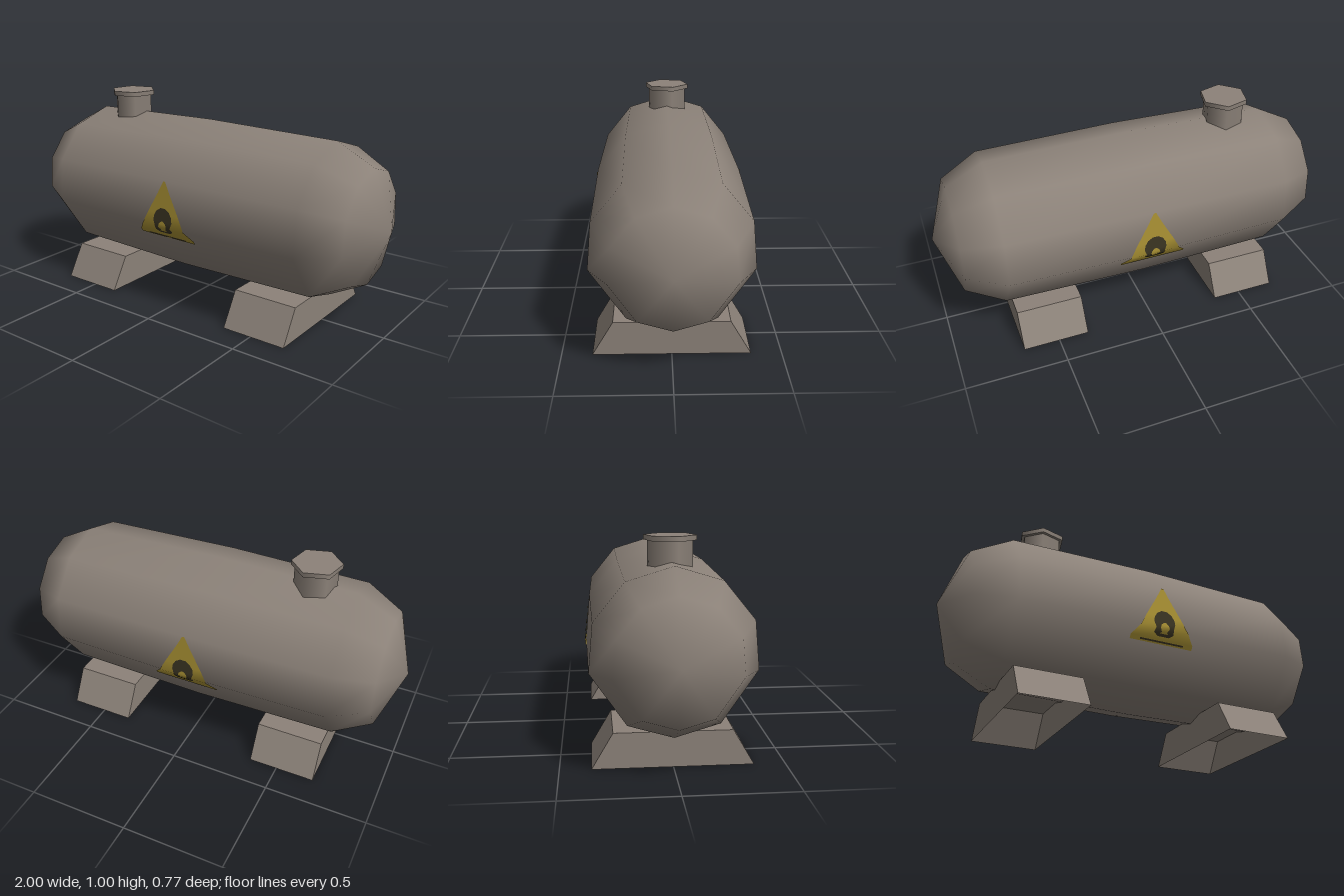
import * as THREE from 'three';
import { mergeVertices } from 'three/addons/utils/BufferGeometryUtils.js';

const CENTER_Y = 0.517;
const RADIUS = 0.387;
// uneven ten-sided section, degrees from the top, one half then mirrored
const HALF = [0, 34, 68, 102, 147, 180];
const ANGLES = [...HALF, ...HALF.slice(1, -1).reverse().map(a => 360 - a), 360]
  .map(THREE.MathUtils.degToRad);

// x position and radius scale of each ring along the tank
const RINGS = [[-1, 0], [-0.9, 0.715], [-0.715, 0.967], [0, 1], [0.715, 0.967], [0.9, 0.715], [1, 0]];

function tankGeometry() {
  const pos = [], index = [], n = ANGLES.length;
  RINGS.forEach(([x, s], i) => ANGLES.forEach((a, j) => {
    const r = RADIUS * s;
    pos.push(x, CENTER_Y + r * Math.cos(a), r * Math.sin(a));
    if (i < RINGS.length - 1 && j < n - 1) {
      const p = i * n + j, q = p + n;
      if (s > 0) index.push(p, p + 1, q);
      if (RINGS[i + 1][1] > 0) index.push(q, p + 1, q + 1);
    }
  }));
  const g = new THREE.BufferGeometry();
  g.setAttribute('position', new THREE.Float32BufferAttribute(pos, 3));
  g.setIndex(index);
  const merged = mergeVertices(g, 1e-4);
  merged.computeVertexNormals();
  return merged;
}

// depth of the tank's side at a given height
function sideZ(y) {
  const pts = HALF.map(THREE.MathUtils.degToRad)
    .map(a => [CENTER_Y + RADIUS * Math.cos(a), RADIUS * Math.sin(a)]);
  for (let i = 1; i < pts.length; i++) {
    const [y0, z0] = pts[i - 1], [y1, z1] = pts[i];
    if (y <= y0 && y >= y1) return z0 + (z1 - z0) * (y0 - y) / (y0 - y1);
  }
  return 0;
}

// thin face hugging the tank side; rows are [height, half width] from top down
function decalGeometry(rows, lift, side) {
  const pos = [], index = [];
  rows.forEach(([y, w], i) => {
    const z = side * (sideZ(y) + lift);
    pos.push(-w * side, y, z, w * side, y, z);
    if (i > 0) {
      const a = 2 * i - 2;
      index.push(a, a + 2, a + 1, a + 1, a + 2, a + 3);
    }
  });
  const g = new THREE.BufferGeometry();
  g.setAttribute('position', new THREE.Float32BufferAttribute(pos, 3));
  g.setIndex(index);
  g.computeVertexNormals();
  return g;
}

// trapezoid block, hollow and open underneath
function footGeometry() {
  const g = new THREE.BoxGeometry(0.33, 0.163, 0.72);
  const p = g.attributes.position;
  for (let i = 0; i < p.count; i++) {
    if (p.getY(i) > 0) p.setZ(i, Math.sign(p.getZ(i)) * 0.265);
  }
  const idx = Array.from(g.index.array);
  idx.splice(18, 6);
  g.setIndex(idx);
  g.clearGroups();
  g.computeVertexNormals();
  return g;
}

export function createModel() {
  const model = new THREE.Group();
  model.name = 'storageTank';

  const material = (name, color) => {
    const m = new THREE.MeshStandardMaterial({ color, side: THREE.DoubleSide });
    m.name = name;
    return m;
  };
  const metal = material('taupeMetal', 0x8c8279);
  const yellow = material('warningYellow', 0xa89033);
  const dark = material('darkMarking', 0x3a3422);

  const add = (name, geometry, mat, parent = model) => {
    const mesh = new THREE.Mesh(geometry, mat);
    mesh.name = name;
    parent.add(mesh);
    return mesh;
  };

  add('tankBody', tankGeometry(), metal);

  // feet
  const foot = footGeometry();
  [['rightFoot', -0.525], ['leftFoot', 0.515]].forEach(([name, x]) => {
    add(name, foot, metal).position.set(x, 0.0815, 0);
  });

  // filler neck and its six-sided lid
  const turn = THREE.MathUtils.degToRad(46);
  add('fillerNeck', new THREE.CylinderGeometry(0.102, 0.102, 0.12, 6, 1, true, turn), metal)
    .position.set(-0.51, 0.925, 0);
  add('fillerLid', new THREE.CylinderGeometry(0.119, 0.119, 0.023, 6, 1, false, turn), metal)
    .position.set(-0.51, 0.9935, 0);

  // warning signs on both long sides
  const bend = CENTER_Y + RADIUS * Math.cos(ANGLES[3]);
  const triangle = [[0.661, 0.006], [0.6, 0.037], [0.5, 0.093], [bend, 0.125], [0.39, 0.165], [0.372, 0.165]];
  const flame = [[0.53, 0.014], [0.515, 0.038], [0.49, 0.053], [0.465, 0.056], [bend, 0.046], [0.415, 0.052], [0.402, 0.03]];
  const flameCore = [[0.466, 0.006], [0.452, 0.02], [bend, 0.024], [0.42, 0.014], [0.413, 0.022]];
  const bar = [[0.384, 0.115], [0.377, 0.115]];
  [['front', 1], ['back', -1]].forEach(([name, side]) => {
    const sign = new THREE.Group();
    sign.name = name + 'WarningSign';
    model.add(sign);
    add('signTriangle', decalGeometry(triangle, 0.003, side), yellow, sign);
    add('signFlame', decalGeometry(flame, 0.005, side), dark, sign);
    add('signFlameCore', decalGeometry(flameCore, 0.007, side), yellow, sign);
    add('signBar', decalGeometry(bar, 0.005, side), dark, sign);
  });

  return model;
}
